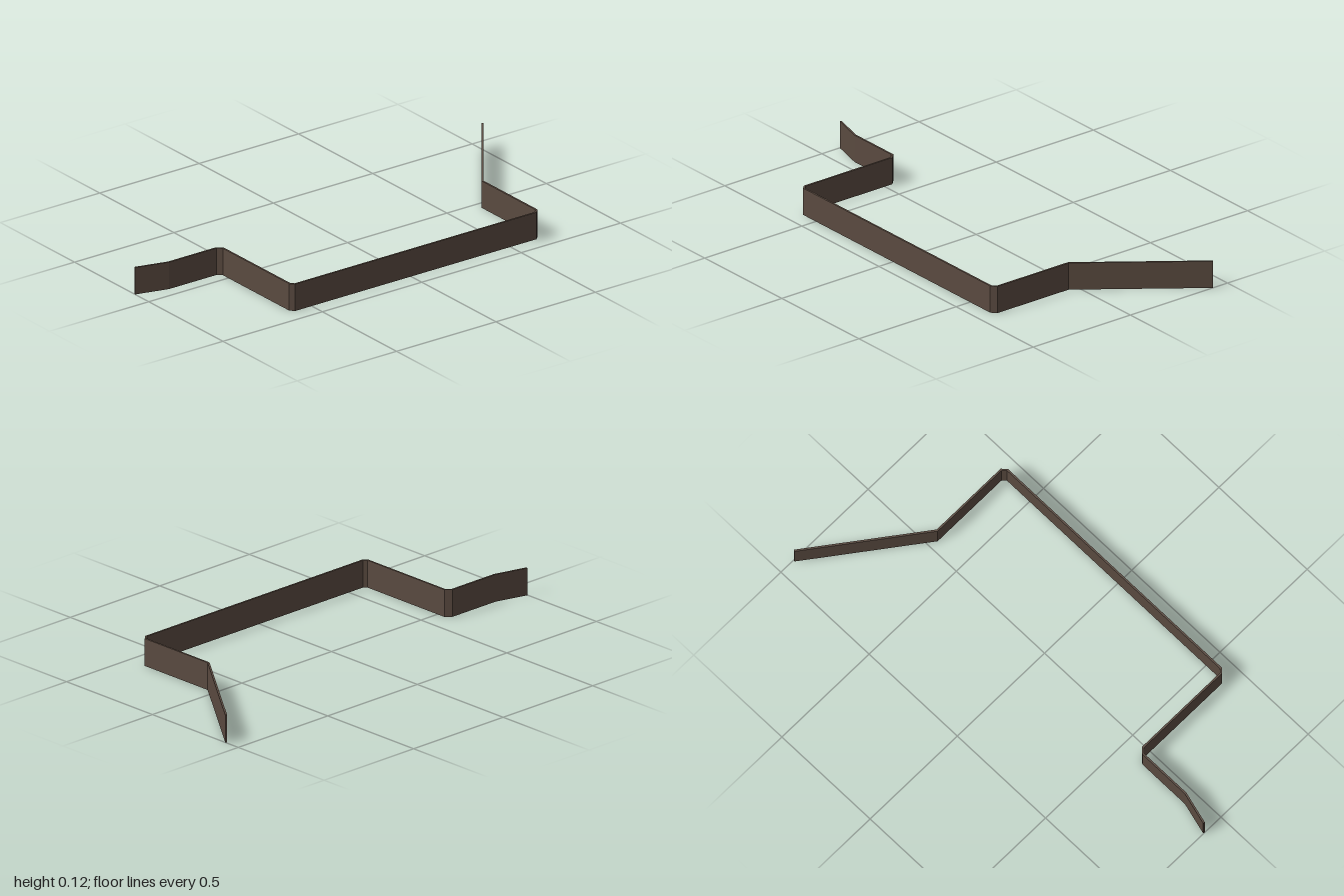
import * as THREE from 'three';

const HEIGHT = 0.118;
const HALF = 0.004; // half the wall thickness

// Centre line of the wall in plan (x, z), with small chamfered corners
const PATH = [
  [-0.427, -0.997], [0.04, -0.648], [0.406, -0.648], [0.424, -0.629],
  [0.424, 0.581], [0.409, 0.596], [-0.038, 0.596], [-0.058, 0.617],
  [-0.058, 0.857], [-0.096, 0.999],
].map(([x, z]) => new THREE.Vector2(x, -z));

// Offset the path sideways with mitred joints
function offsetPath(points, distance) {
  const normal = (a, b) => {
    const d = b.clone().sub(a).normalize();
    return new THREE.Vector2(-d.y, d.x);
  };
  return points.map((p, i) => {
    const before = i > 0 ? normal(points[i - 1], p) : normal(p, points[1]);
    const after = i < points.length - 1 ? normal(p, points[i + 1]) : before;
    const mitre = before.clone().add(after).normalize();
    return p.clone().addScaledVector(mitre, distance / mitre.dot(before));
  });
}

export function createModel() {
  const group = new THREE.Group();
  group.name = 'foldedWall';
  const brown = new THREE.MeshStandardMaterial({ color: 0x5a4a40 });
  brown.name = 'dark brown';

  // Thin plan outline, raised to the wall height
  const outline = new THREE.Shape([
    ...offsetPath(PATH, HALF),
    ...offsetPath(PATH, -HALF).reverse(),
  ]);
  const geometry = new THREE.ExtrudeGeometry(outline, { depth: HEIGHT, bevelEnabled: false });
  geometry.rotateX(-Math.PI / 2);

  const wall = new THREE.Mesh(geometry, brown);
  wall.name = 'wallStrip';
  group.add(wall);
  return group;
}
